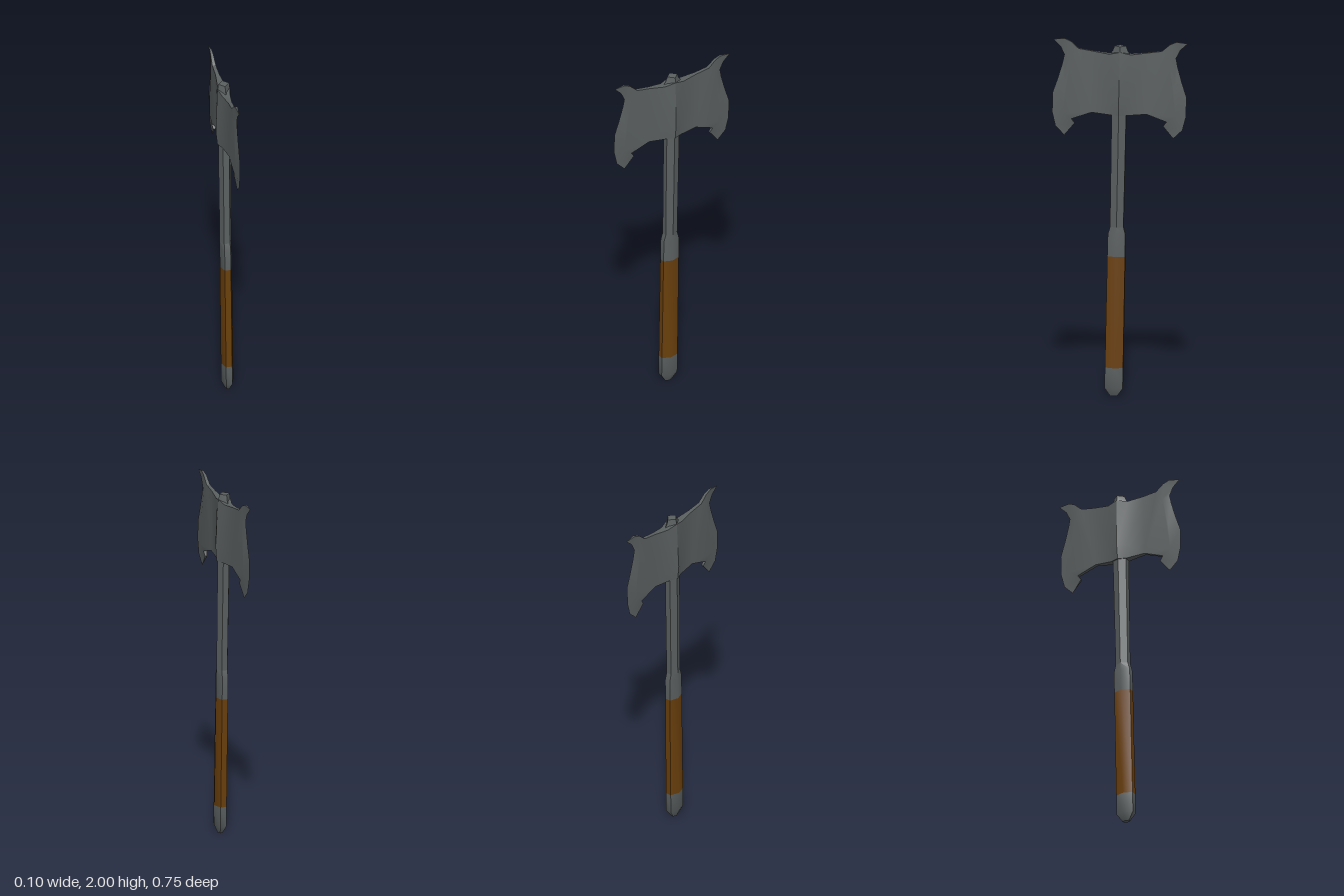
import * as THREE from 'three';
import { toCreasedNormals } from 'three/addons/utils/BufferGeometryUtils.js';

const steel = new THREE.MeshStandardMaterial({ color: 0x5a5f60 });
steel.name = 'dark steel';
const leather = new THREE.MeshStandardMaterial({ color: 0x6a3f0c });
leather.name = 'brown leather';

// Lofts [y, halfX, halfZ] rings with a corner on each x end.
function loft(name, rings, sides, material) {
  const zFit = sides === 6 ? 1 / Math.sin(Math.PI / 3) : 1;
  const geo = new THREE.LatheGeometry(rings.map(r => new THREE.Vector2(1, r[0])), sides, Math.PI / 2);
  const p = geo.attributes.position;
  for (let i = 0; i < p.count; i++) {
    const [, hx, hz] = rings[i % rings.length];
    p.setX(i, p.getX(i) * hx);
    p.setZ(i, p.getZ(i) * hz * zFit);
  }
  const mesh = new THREE.Mesh(toCreasedNormals(geo, 0.8), material);
  mesh.name = name;
  return mesh;
}

// Blade points: [z, y, half thickness]
const P = [
  [0, 1.935, 0.036], [0, 1.66, 0.048], [0, 1.579, 0.04],            // 0-2 central ridge
  [0.06, 1.92, 0.022], [0.05, 1.66, 0.026], [0.045, 1.579, 0.022],  // 3-5 socket side
  [0.15, 1.932, 0.011], [0.151, 1.588, 0.011],                      // 6-7 middle
  [0.23, 1.944, 0.01], [0.262, 1.548, 0.01],                        // 8-9 horn roots
  [0.273, 1.982, 0.008], [0.308, 1.997, 0.006], [0.371, 1.99, 0],   // 10-12 upper horn
  [0.329, 1.95, 0], [0.308, 1.905, 0], [0.318, 1.855, 0],           // 13-15 cutting edge
  [0.343, 1.768, 0], [0.369, 1.69, 0], [0.369, 1.58, 0],
  [0.35, 1.503, 0], [0.3, 1.454, 0], [0.244, 1.523, 0.006],         // 19-21 lower horn
  [0.27, 1.89, 0.01], [0.3, 1.72, 0.01], [0.31, 1.58, 0.01]         // 22-24 bevel line
];
const PANELS = [
  [0, 3, 4, 1], [1, 4, 5, 2], [3, 6, 7, 5, 4], [6, 8, 22, 23, 24, 9, 7],
  [8, 10, 11, 13, 14, 22], [11, 12, 13], [22, 14, 15, 16, 23],
  [23, 16, 17, 24], [24, 17, 18, 19], [9, 24, 19, 20, 21]
];
const RIM = [[0, 3, 6, 8, 10, 11, 12], [20, 21, 9, 7, 5, 2]];

function blade(name, zSide) {
  const out = [];
  const at = (i, xSide) => new THREE.Vector3(xSide * P[i][2], P[i][1], zSide * P[i][0]);
  const tri = (a, b, c) => [a, b, c].forEach(v => out.push(v.x, v.y, v.z));

  // Both cheeks, each wound to face away from the middle plane
  for (const panel of PANELS) {
    const flat = panel.map(i => new THREE.Vector2(P[i][0], P[i][1]));
    for (const t of THREE.ShapeUtils.triangulateShape(flat, [])) {
      for (const xSide of [1, -1]) {
        const [a, b, c] = t.map(k => at(panel[k], xSide));
        const nx = b.clone().sub(a).cross(c.clone().sub(a)).x;
        if (nx * xSide > 0) tri(a, b, c); else tri(a, c, b);
      }
    }
  }

  // Narrow walls along the top and bottom
  for (const run of RIM) {
    for (let k = 0; k + 1 < run.length; k++) {
      const a = at(run[k], zSide), a2 = at(run[k], -zSide);
      const b = at(run[k + 1], zSide), b2 = at(run[k + 1], -zSide);
      if (P[run[k]][2] > 0) tri(a, a2, b);
      if (P[run[k + 1]][2] > 0) tri(a2, b2, b);
    }
  }

  const geo = new THREE.BufferGeometry();
  geo.setAttribute('position', new THREE.Float32BufferAttribute(out, 3));
  geo.computeVertexNormals();
  const mesh = new THREE.Mesh(toCreasedNormals(geo, 0.5), steel);
  mesh.name = name;
  return mesh;
}

export function createModel() {
  const axe = new THREE.Group();
  axe.name = 'doubleAxe';

  // Handle, from the pommel up
  axe.add(loft('pommel', [[0, 0, 0], [0, 0.014, 0.02], [0.045, 0.034, 0.05], [0.16, 0.035, 0.05]], 6, steel));
  axe.add(loft('grip', [[0.16, 0.035, 0.05], [0.785, 0.034, 0.049]], 6, leather));
  axe.add(loft('collar', [[0.785, 0.034, 0.049], [0.91, 0.034, 0.048], [0.95, 0.033, 0.037]], 6, steel));
  axe.add(loft('shaft', [[0.95, 0.033, 0.037], [1.6, 0.035, 0.04]], 6, steel));

  // Head
  axe.add(blade('frontBlade', 1), blade('backBlade', -1));
  axe.add(loft('headCap', [[1.9, 0.036, 0.07], [1.937, 0.034, 0.042], [1.965, 0.031, 0.032], [1.972, 0, 0]], 4, steel));

  // Slight lean of the whole axe
  axe.rotation.set(-0.0185, 0, 0.006);
  axe.position.set(0.006, 0, 0.035);

  const model = new THREE.Group();
  model.name = 'model';
  model.add(axe);
  return model;
}
